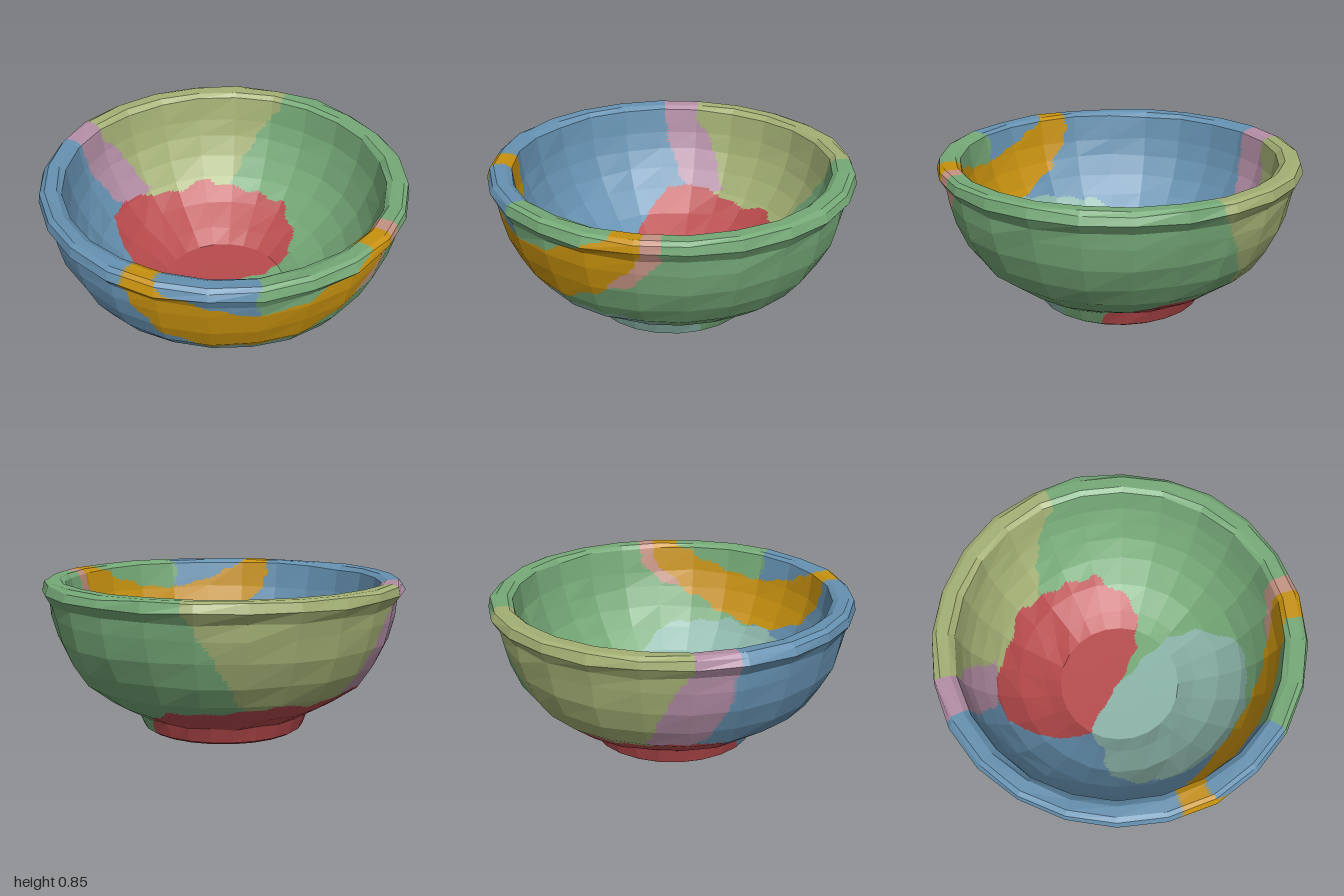
import * as THREE from 'three';

const SIDES = 24;

// Wall section [t, radius, height]: under the foot, up the outside, over the rim, down the inside.
// t is the unrolled distance from the bowl's centre, equal for facing points of both skins.
const SECTION = [
  [0, 0, 0], [0.18, 0.215, 0], [0.355, 0.425, 0], [0.37, 0.45, 0.015], [0.45, 0.49, 0.1],
  [0.58, 0.64, 0.185], [0.7, 0.78, 0.29], [0.8, 0.86, 0.4], [0.9, 0.92, 0.53], [1, 0.95, 0.65],
  [1.07, 0.962, 0.73], [1.13, 0.998, 0.785], [1.2, 0.985, 0.83], [1.22, 0.96, 0.845],
  [1.22, 0.9, 0.842], [1.18, 0.872, 0.822], [1, 0.85, 0.68], [0.9, 0.82, 0.58], [0.8, 0.77, 0.47],
  [0.7, 0.7, 0.36], [0.58, 0.58, 0.245], [0.45, 0.44, 0.155], [0.36, 0.35, 0.09],
  [0.18, 0.18, 0.085], [0, 0, 0.085],
];

const COLORS = {
  shardRed: 0xb84a4c, shardTeal: 0x8cb6aa, shardGold: 0xc8920f, shardPink: 0xc69484,
  shardMauve: 0xb48ea6, shardBlue: 0x6692b2, shardOlive: 0xa3b074, shardGreen: 0x76aa78,
};

const polar = (list) => list.map(([deg, t]) => {
  const a = THREE.MathUtils.degToRad(deg);
  return [t * Math.cos(a), t * Math.sin(a)];
});

// Shard outlines on the unrolled disc
const OUTLINES = {
  shardRed: [[-0.72, -0.05], [-0.62, -0.25], [-0.48, -0.5], [-0.2, -0.61], [0, -0.63], [0.15, -0.52],
    [0.21, -0.38], [0.15, -0.2], [0, 0], [-0.12, 0.12], [-0.25, 0.26], [-0.33, 0.3], [-0.5, 0.27], [-0.7, 0.15]],
  shardTeal: [[-0.25, 0.26], [-0.2, 0.4], [-0.2, 0.59], [-0.05, 0.68], [0.2, 0.7], [0.42, 0.64], [0.62, 0.44],
    [0.71, 0.22], [0.72, 0.05], [0.62, -0.1], [0.5, -0.18], [0.35, -0.2], [0.2, -0.13], [0, 0], [-0.12, 0.12]],
  shardGold: polar([[86, 1.4], [85, 1], [79, 0.93], [78, 0.87], [70, 0.83], [62, 0.78], [47, 0.755],
    [33, 0.78], [22, 0.83], [13, 0.88], [6, 0.95], [3, 1], [-2, 1.1], [-2, 1.4]]),
  shardPink: polar([[-2, 1.4], [-8, 1.4], [-7, 1.08], [0, 0.94], [9, 0.9], [13, 0.9], [6, 0.97], [3, 1.02]]),
  shardMauve: polar([[180, 1.4], [180, 1.12], [187, 0.95], [196, 0.72], [185, 0.68], [175, 0.74], [168, 0.95], [166, 1.4]]),
};

function inside(poly, x, z) {
  let hit = false;
  for (let i = 0, j = poly.length - 1; i < poly.length; j = i++) {
    const [xi, zi] = poly[i], [xj, zj] = poly[j];
    if ((zi > z) !== (zj > z) && x < ((xj - xi) * (z - zi)) / (zj - zi) + xi) hit = !hit;
  }
  return hit;
}

// Which shard owns a spot; the small waves give the broken edges their ragged line
function shardAt(angle, t) {
  const px = t * Math.cos(angle), pz = t * Math.sin(angle);
  const x = px + 0.008 * Math.sin(pz * 41), z = pz + 0.008 * Math.sin(px * 37 + 1);
  for (const name in OUTLINES) if (inside(OUTLINES[name], x, z)) return name;
  const deg = (THREE.MathUtils.radToDeg(Math.atan2(z, x)) + 360) % 360;
  if (deg > 46 && deg < 180) return 'shardBlue';
  if (deg >= 180 && deg < 259 - Math.max(0, 1.13 - t) * 43) return 'shardOlive';
  return 'shardGreen';
}

// Repeatable unevenness of the hand-made wall, from -1 to 1
function wobble(i, j, k) {
  const s = Math.sin((i % SIDES) * 12.99 + j * 78.23 + k * 37.7) * 43758.55;
  return 2 * (s - Math.floor(s)) - 1;
}

function wallPoint(i, j) {
  const [, r, y] = SECTION[j];
  const a = (i / SIDES) * Math.PI * 2;
  const free = y > 0.09 ? 1 : 0;
  const rr = r + free * (wobble(i, j, 1) * 0.005 - 0.003);
  const yy = y + free * wobble(i, j, 2) * (y > 0.83 ? 0.003 : 0.008);
  return new THREE.Vector3(rr * Math.cos(a), yy, rr * Math.sin(a));
}

export function createModel() {
  const bowl = new THREE.Group();
  bowl.name = 'brokenBowl';
  const shards = {};
  for (const name in COLORS) shards[name] = [];

  for (let j = 0; j < SECTION.length - 1; j++) {
    const [t0, r0, y0] = SECTION[j], [t1, r1, y1] = SECTION[j + 1];
    const n = Math.max(8, Math.ceil(Math.hypot(r1 - r0, y1 - y0) / 0.02));
    for (let i = 0; i < SIDES; i++) {
      const a = wallPoint(i, j), b = wallPoint(i + 1, j);
      const c = wallPoint(i, j + 1), d = wallPoint(i + 1, j + 1);
      // Each facet is two flat triangles, finely divided so the shards can share it
      const at = (u, v) => {
        const p = new THREE.Vector3();
        if (u + v <= n) return p.addScaledVector(a, 1 - (u + v) / n).addScaledVector(b, u / n).addScaledVector(c, v / n);
        return p.addScaledVector(d, (u + v) / n - 1).addScaledVector(c, 1 - u / n).addScaledVector(b, 1 - v / n);
      };
      const addTriangle = (...uv) => {
        const [p, q, s] = uv.map(([u, v]) => at(u, v));
        const area = q.clone().sub(p).cross(s.clone().sub(p)).length();
        if (area < 1e-9) return;
        const u = (uv[0][0] + uv[1][0] + uv[2][0]) / 3, v = (uv[0][1] + uv[1][1] + uv[2][1]) / 3;
        const name = shardAt(((i + u / n) / SIDES) * Math.PI * 2, t0 + ((t1 - t0) * v) / n);
        for (const w of [p, q, s]) shards[name].push(w.x, w.y, w.z);
      };
      for (let u = 0; u < n; u++) {
        for (let v = 0; v < n; v++) {
          addTriangle([u, v], [u, v + 1], [u + 1, v]);
          addTriangle([u + 1, v], [u, v + 1], [u + 1, v + 1]);
        }
      }
    }
  }

  // One mesh per shard
  for (const name in shards) {
    const geometry = new THREE.BufferGeometry();
    geometry.setAttribute('position', new THREE.Float32BufferAttribute(shards[name], 3));
    geometry.computeVertexNormals();
    const mesh = new THREE.Mesh(geometry, new THREE.MeshStandardMaterial({ color: COLORS[name], flatShading: true }));
    mesh.name = name;
    bowl.add(mesh);
  }
  return bowl;
}
